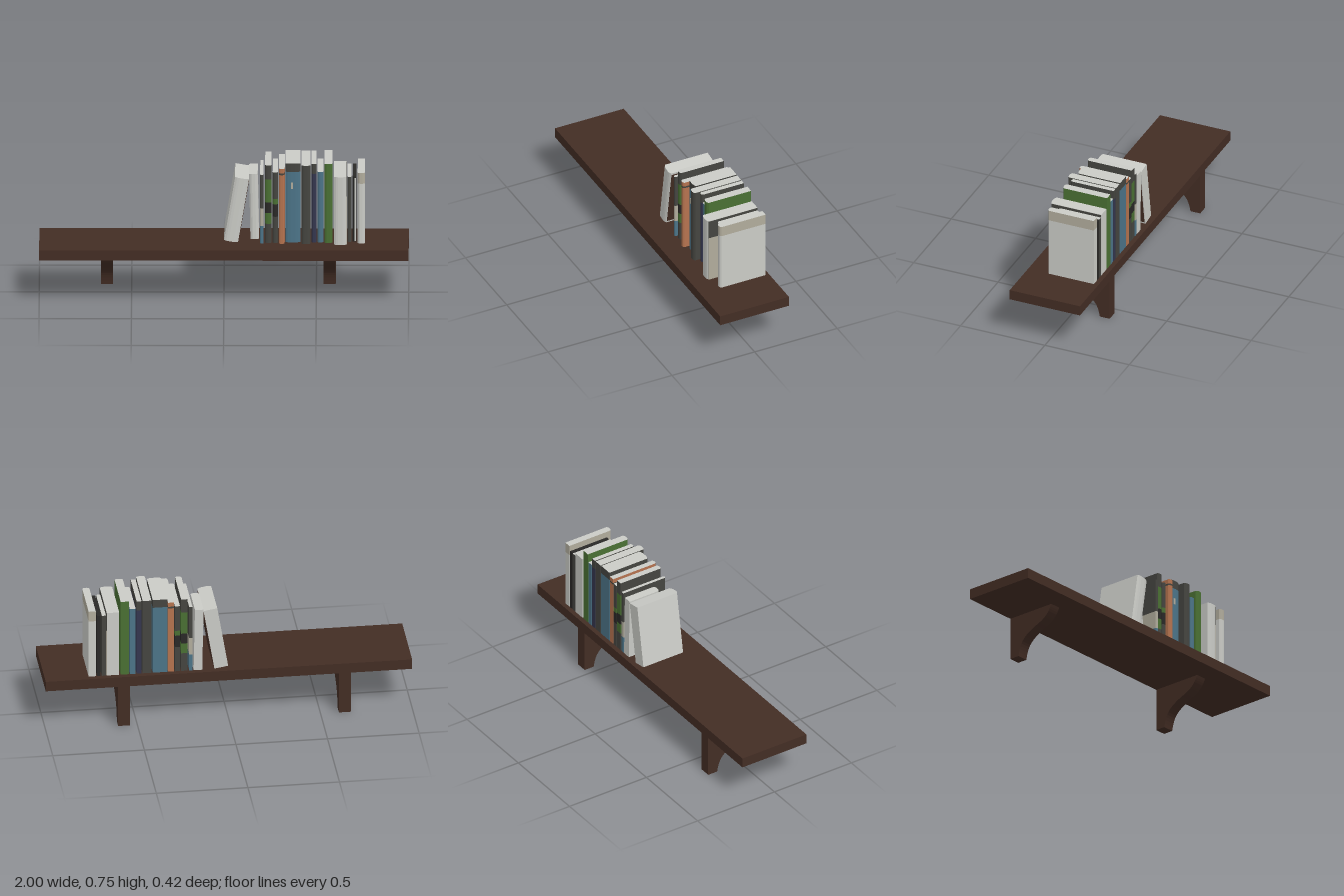
import * as THREE from 'three';

const mat = (name, color) => {
  const m = new THREE.MeshStandardMaterial({ color });
  m.name = name;
  return m;
};

export function createModel() {
  const walnut = mat('walnut', 0x432d24);
  const white = mat('offWhite', 0xcacbc6);
  const beige = mat('beige', 0xb1ac9c);
  const green = mat('green', 0x4a7033);
  const charcoal = mat('charcoal', 0x454540);
  const blue = mat('blue', 0x4c7488);
  const orange = mat('orange', 0xb5734f);
  const navy = mat('navy', 0x34364e);
  const black = mat('black', 0x2a2927);

  const model = new THREE.Group();
  model.name = 'bookShelf';
  const SHELF_TOP = 0.298, BACK = -0.185;

  const box = (name, material, w, h, d, x, y, z, parent) => {
    const mesh = new THREE.Mesh(new THREE.BoxGeometry(w, h, d), material);
    mesh.name = name;
    mesh.position.set(x, y, z);
    parent.add(mesh);
  };

  // Shelf board
  box('shelfBoard', walnut, 2, 0.058, 0.416, 0, 0.269, 0, model);

  // Curved brackets, drawn in z and y, then turned so the profile runs along z
  const profile = new THREE.Shape();
  profile.moveTo(-0.208, 0);
  profile.lineTo(-0.15, 0);
  profile.bezierCurveTo(-0.14, 0.06, -0.125, 0.085, -0.09, 0.11);
  profile.bezierCurveTo(-0.05, 0.138, -0.02, 0.145, 0.012, 0.16);
  profile.bezierCurveTo(0.05, 0.18, 0.07, 0.205, 0.085, 0.24);
  profile.lineTo(-0.208, 0.24);
  profile.closePath();
  for (const x of [-0.633, 0.572]) {
    const geo = new THREE.ExtrudeGeometry(profile, { depth: 0.065, bevelEnabled: false, curveSegments: 8 });
    geo.translate(0, 0, -0.0325).rotateY(-Math.PI / 2);
    const bracket = new THREE.Mesh(geo, walnut);
    bracket.name = 'bracket';
    bracket.position.x = x;
    model.add(bracket);
  }

  // Book with a softened spine; bands are [cover material, top height] from the bottom up
  const addBook = (name, x0, x1, front, bands, top = white) => {
    const group = new THREE.Group();
    group.name = name;
    const h = (x1 - x0) / 2, c = Math.min(0.009, h * 0.6);
    const outline = new THREE.Shape([
      [-h, -BACK], [-h, c - front], [-h * 0.7, c * 0.3 - front], [-h * 0.35, -front],
      [h * 0.35, -front], [h * 0.7, c * 0.3 - front], [h, c - front], [h, -BACK],
    ].map(([x, y]) => new THREE.Vector2(x, y)));
    let y = 0.004;
    for (const [cover, topY] of bands) {
      const end = topY - SHELF_TOP;
      const geo = new THREE.ExtrudeGeometry(outline, { depth: end - y, bevelEnabled: false });
      geo.rotateX(-Math.PI / 2);
      const mesh = new THREE.Mesh(geo, [top, cover]);
      mesh.name = 'coverBand';
      mesh.position.y = y;
      group.add(mesh);
      y = end;
    }
    group.position.set((x0 + x1) / 2, SHELF_TOP, 0);
    model.add(group);
    return group;
  };

  // Leaning book with a brown back cover
  const leaning = addBook('leaningBook', 0, 0.076, 0.082, [[white, 0.664]]);
  box('brownCover', walnut, 0.003, 0.34, 0.25, 0.0385, 0.184, -0.055, leaning);
  leaning.rotation.z = -0.165;
  leaning.position.set(0.038, SHELF_TOP + 0.008, 0);

  const tilted = addBook('tiltedBook', 0.143, 0.19, 0.01, [[white, 0.67]]);
  tilted.rotation.z = 0.02;

  // Upright row
  addBook('slimBook', 0.196, 0.214, 0.09, [[blue, 0.4], [beige, 0.5], [charcoal, 0.69]]);
  addBook('mottledBook', 0.223, 0.258, 0.08,
    [[charcoal, 0.41], [green, 0.47], [black, 0.53], [green, 0.66], [charcoal, 0.74]]);
  addBook('charcoalBook', 0.264, 0.292, 0.08,
    [[charcoal, 0.45], [black, 0.52], [green, 0.55], [charcoal, 0.7]]);
  addBook('orangeBook', 0.297, 0.329, 0.097,
    [[orange, 0.69], [charcoal, 0.7], [orange, 0.725]]);
  const wide = addBook('wideBlueBook', 0.333, 0.413, 0.07, [[blue, 0.7], [charcoal, 0.747]]);
  box('spineMark', beige, 0.012, 0.035, 0.003, -0.004, 0.325, 0.0705, wide);
  addBook('tallCharcoalBook', 0.42, 0.468, 0.102, [[charcoal, 0.745]]);
  addBook('navyBook', 0.474, 0.501, 0.07, [[navy, 0.69], [charcoal, 0.745]]);
  addBook('smallBlueBook', 0.506, 0.538, 0.07, [[blue, 0.7]]);
  addBook('greenBook', 0.543, 0.588, 0.08, [[green, 0.748]]);

  // Thick pale book with a two-tone right cover
  const thick = addBook('thickBook', 0.596, 0.664, 0.118, [[white, 0.685]]);
  box('upperCover', charcoal, 0.003, 0.108, 0.294, 0.0345, 0.331, -0.037, thick);
  box('lowerCover', beige, 0.003, 0.272, 0.294, 0.0345, 0.141, -0.037, thick);

  addBook('thinDarkBook', 0.668, 0.691, 0.06, [[charcoal, 0.67]]);
  const striped = addBook('stripedBook', 0.697, 0.717, 0.055, [[black, 0.67]], black);
  box('spineStripe', white, 0.007, 0.355, 0.003, 0.003, 0.186, 0.0555, striped);
  addBook('endBook', 0.724, 0.763, 0.09, [[white, 0.64], [beige, 0.7]]);

  return model;
}
